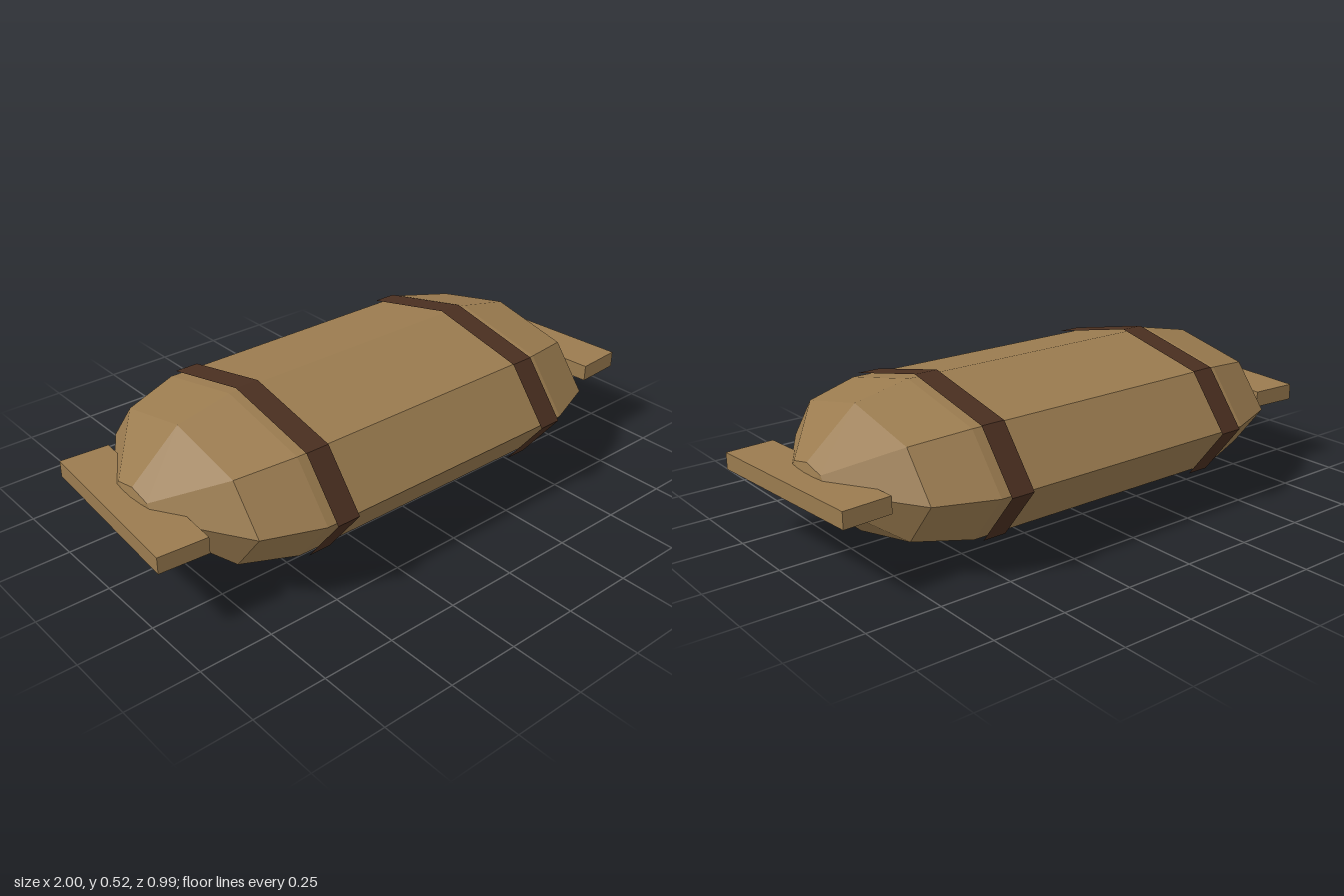
import * as THREE from 'three';

const CENTER_Y = 0.2625;

// Turn a y-axis solid onto the x axis and flatten it to an elliptical section
function layAlongX(geometry, halfHeight, halfDepth) {
  return geometry.rotateZ(Math.PI / 2).scale(1, halfHeight, halfDepth);
}

export function createModel() {
  const group = new THREE.Group();
  const tan = new THREE.MeshStandardMaterial({ name: 'tanCloth', color: 0x9a7b4f, flatShading: true });
  const brown = new THREE.MeshStandardMaterial({ name: 'darkLeather', color: 0x4a2f20, flatShading: true });

  const add = (name, geometry, material, x) => {
    const mesh = new THREE.Mesh(geometry, material);
    mesh.name = name;
    mesh.position.set(x, CENTER_Y, 0);
    group.add(mesh);
    return mesh;
  };

  // Eight-sided rounded body: [relative radius, distance from the middle]
  const half = [[0, 0.9], [0.24, 0.885], [0.84, 0.71], [1, 0.515]];
  const profile = [
    ...half.map(([r, d]) => new THREE.Vector2(r, -d)),
    ...half.slice().reverse().map(([r, d]) => new THREE.Vector2(r, d)),
  ];
  add('body', layAlongX(new THREE.LatheGeometry(profile, 8), 0.253, 0.481), tan, 0);

  for (const [side, s] of [['left', 1], ['right', -1]]) {
    // Strap wrapped around the body
    const strap = new THREE.CylinderGeometry(1, 1, 0.084, 8, 1, true);
    add(side + 'Strap', layAlongX(strap, 0.2625, 0.497), brown, s * 0.447);

    // Flat end handle, slightly splayed towards the front
    const handle = add(side + 'Handle', new THREE.BoxGeometry(0.17, 0.057, 0.645), tan, s * 0.893);
    handle.rotation.y = s * 0.07;
  }
  return group;
}
